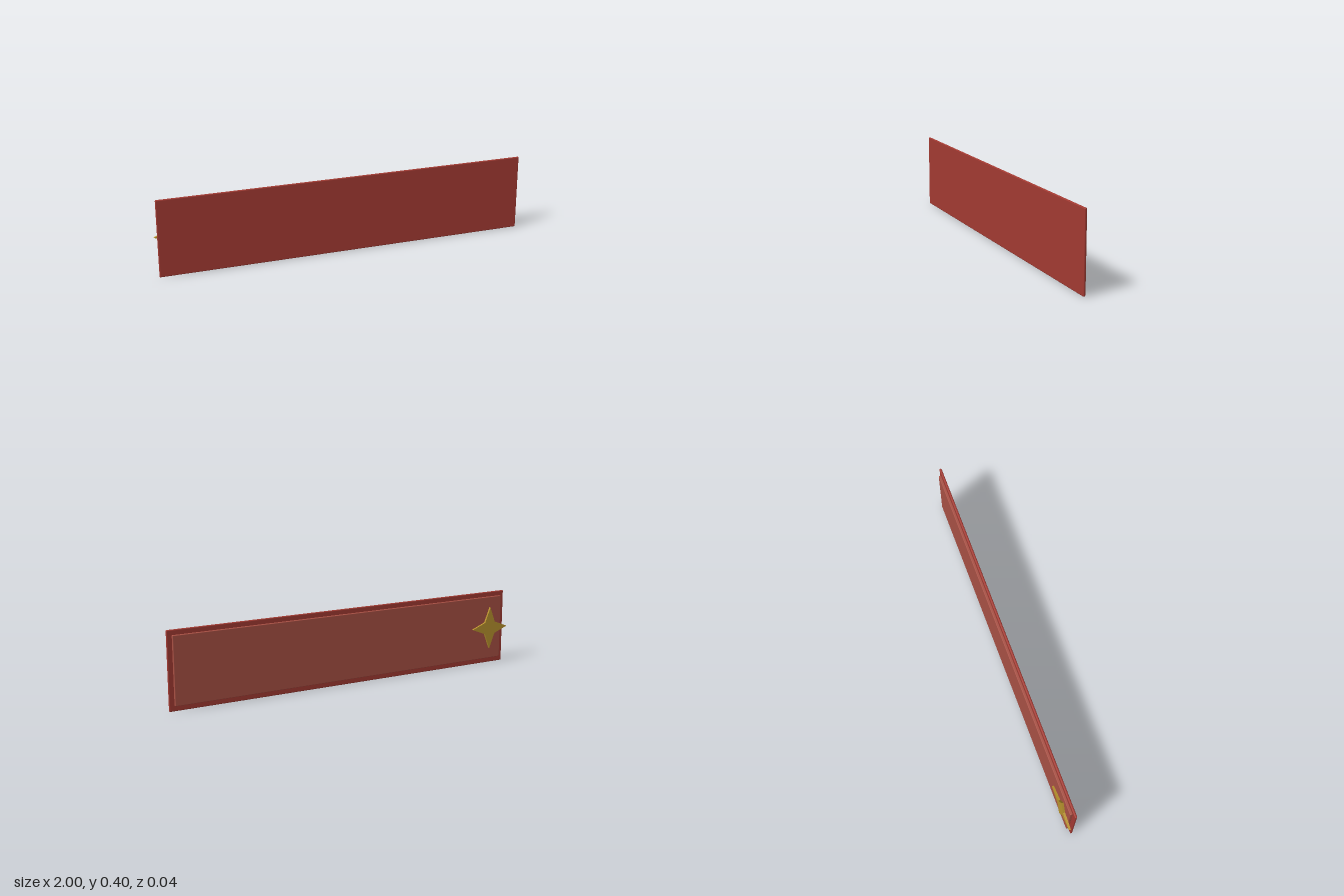
import * as THREE from 'three';
import { RoundedBoxGeometry } from 'three/addons/geometries/RoundedBoxGeometry.js';

function add(group, name, geometry, color, x, y, z) {
  const mesh = new THREE.Mesh(geometry, new THREE.MeshStandardMaterial({ color }));
  mesh.name = name;
  mesh.position.set(x, y, z);
  group.add(mesh);
}

// Four-pointed star outline, alternating tips and notches
function starShape(outer, inner) {
  const points = [];
  for (let i = 0; i < 8; i++) {
    const a = (i * Math.PI) / 4;
    const r = i % 2 ? inner : outer;
    points.push(new THREE.Vector2(r * Math.cos(a), r * Math.sin(a)));
  }
  return new THREE.Shape(points);
}

export function createModel() {
  const group = new THREE.Group();
  group.name = 'starPlaque';

  // Front board with softly rounded edges
  add(group, 'frontBoard', new RoundedBoxGeometry(1.986, 0.402, 0.012, 4, 0.005), 0xa33a32, 0.005, 0.201, 0.0125);

  // Smaller panel behind it
  add(group, 'backPanel', new RoundedBoxGeometry(1.935, 0.348, 0.0145, 3, 0.003), 0xa85044, 0.005, 0.2025, -0.0003);

  // Star emblem on the back, overhanging the right end
  const star = new THREE.ExtrudeGeometry(starShape(0.116, 0.046), { depth: 0.0115, bevelEnabled: false });
  add(group, 'starEmblem', star, 0xb8922e, -0.884, 0.2025, -0.0185);

  return group;
}
